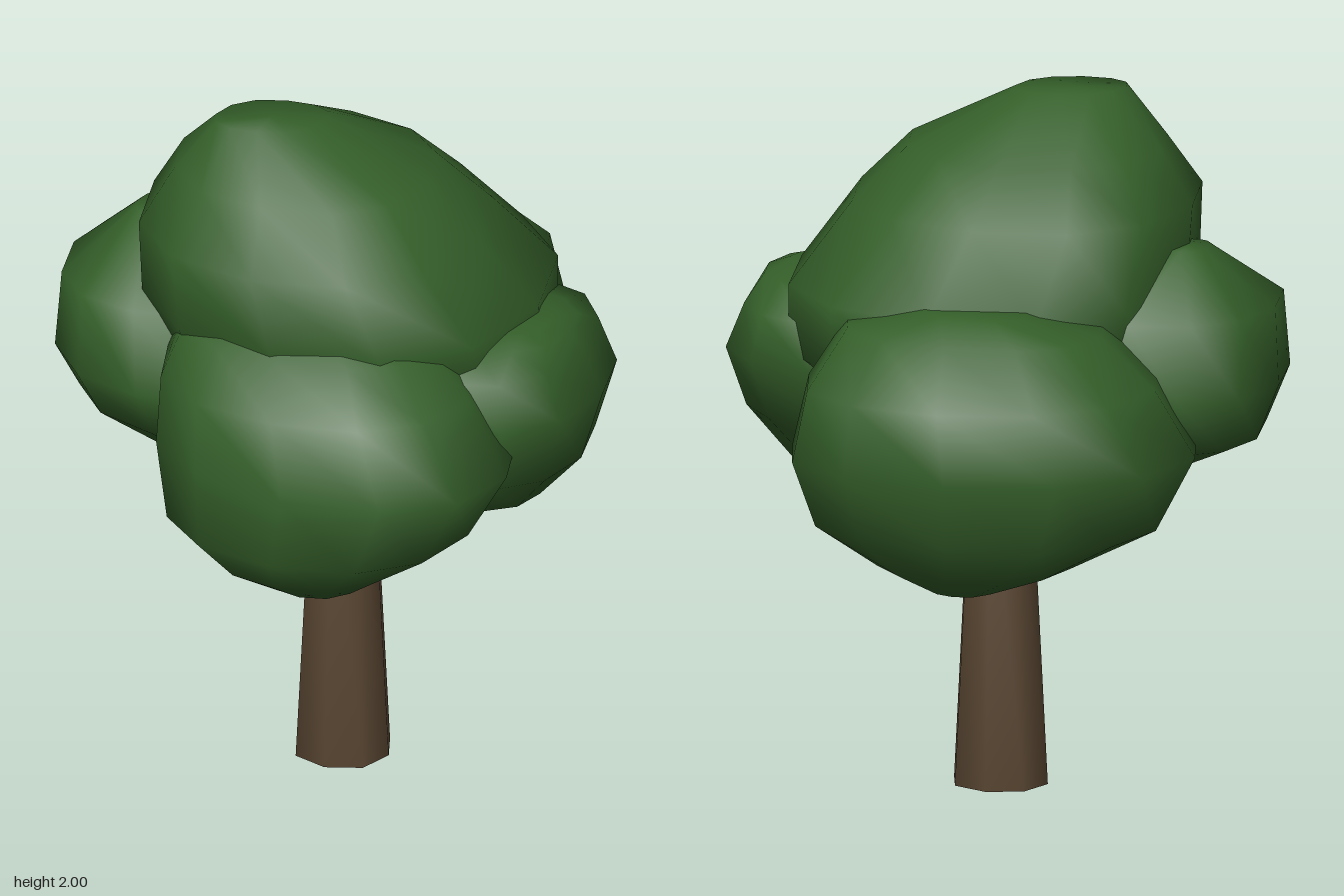
import * as THREE from 'three';

// Smooth solid from oval rings, top to bottom: [y, xMin, xMax, zMin, zMax, slant in degrees].
// The slant tilts the oval diagonally inside its bounds.
function loft(rings, sides) {
  const pos = [], index = [];
  const bulge = (v) => Math.sign(v) * Math.pow(Math.abs(v), 0.9);
  for (const [y, x0, x1, z0, z1, slant = 0] of rings) {
    for (let i = 0; i < sides; i++) {
      const a = (i / sides) * Math.PI * 2;
      const b = a + THREE.MathUtils.degToRad(slant);
      pos.push((x0 + x1) / 2 + bulge(Math.cos(a)) * (x1 - x0) / 2, y,
        (z0 + z1) / 2 + bulge(Math.sin(b)) * (z1 - z0) / 2);
    }
  }
  for (let r = 0; r < rings.length - 1; r++) {
    for (let i = 0; i < sides; i++) {
      const a = r * sides + i, b = r * sides + (i + 1) % sides;
      index.push(a, b, a + sides, b, b + sides, a + sides);
    }
  }
  // close both ends
  for (const r of [0, rings.length - 1]) {
    const [y, x0, x1, z0, z1] = rings[r];
    const c = pos.length / 3;
    pos.push((x0 + x1) / 2, y, (z0 + z1) / 2);
    for (let i = 0; i < sides; i++) {
      const p = r * sides + i, q = r * sides + (i + 1) % sides;
      if (r === 0) index.push(c, q, p);
      else index.push(c, p, q);
    }
  }
  const geo = new THREE.BufferGeometry();
  geo.setAttribute('position', new THREE.Float32BufferAttribute(pos, 3));
  geo.setIndex(index);
  geo.computeVertexNormals();
  return geo;
}

const CLUMPS = {
  topFoliage: [
    [2.0, -0.3, 0.0, 0.08, 0.31, -20],
    [1.85, -0.44, 0.3, -0.2, 0.47],
    [1.7, -0.53, 0.45, -0.35, 0.62],
    [1.48, -0.54, 0.6, -0.54, 0.645],
    [1.28, -0.5, 0.6, -0.5, 0.55],
    [1.05, -0.3, 0.38, -0.28, 0.35],
    [0.95, -0.1, 0.15, -0.1, 0.15],
  ],
  frontFoliage: [
    [1.57, -0.14, 0.2, 0.35, 0.5],
    [1.48, -0.32, 0.43, 0.18, 0.66],
    [1.36, -0.36, 0.55, 0.1, 0.8],
    [1.17, -0.37, 0.69, 0.05, 0.89, 4],
    [0.95, -0.32, 0.56, 0.08, 0.87],
    [0.82, -0.18, 0.36, 0.2, 0.75],
    [0.78, 0, 0.28, 0.38, 0.7],
  ],
  backFoliage: [
    [1.51, -0.25, 0.05, -0.58, -0.4],
    [1.45, -0.45, 0.3, -0.69, -0.15],
    [1.3, -0.6, 0.38, -0.86, -0.06, -8],
    [1.1, -0.7, 0.42, -0.89, 0.0, -12],
    [0.9, -0.61, 0.37, -0.82, -0.09, -5],
    [0.78, -0.37, 0.18, -0.73, -0.2],
    [0.73, -0.2, 0, -0.68, -0.42],
  ],
  leftFoliage: [
    [1.46, 0.48, 0.65, 0, 0.2],
    [1.44, 0.3, 0.71, -0.12, 0.3],
    [1.38, 0.2, 0.74, -0.3, 0.42],
    [1.25, 0.1, 0.8, -0.33, 0.46],
    [1.07, 0.1, 0.76, -0.27, 0.44, 5],
    [0.9, 0.15, 0.61, -0.12, 0.25],
    [0.83, 0.25, 0.45, 0, 0.12],
  ],
  rightFoliage: [
    [1.6, -0.6, -0.48, 0, 0.15],
    [1.44, -0.79, -0.15, -0.25, 0.44],
    [1.22, -0.81, -0.05, -0.3, 0.52, 5],
    [1.07, -0.76, -0.05, -0.26, 0.45, 10],
    [0.96, -0.52, -0.1, -0.15, 0.33],
    [0.87, -0.34, -0.2, 0, 0.2],
  ],
};

// Tapered trunk
const TRUNK = [
  [0.96, -0.072, 0.107, -0.015, 0.163],
  [0.0, -0.121, 0.157, -0.061, 0.215],
];

export function createModel() {
  const model = new THREE.Group();
  model.name = 'tree';
  const leaves = new THREE.MeshStandardMaterial({ color: 0x345e29 });
  leaves.name = 'leafGreen';
  const bark = new THREE.MeshStandardMaterial({ color: 0x5a4733 });
  bark.name = 'barkBrown';

  const add = (name, geo, mat) => {
    const mesh = new THREE.Mesh(geo, mat);
    mesh.name = name;
    model.add(mesh);
    return mesh;
  };

  add('trunk', loft(TRUNK, 8), bark);

  // Short branches reaching from the trunk into each clump
  const branch = (name, from, to, radius) => {
    const a = new THREE.Vector3(...from), b = new THREE.Vector3(...to);
    const dir = b.clone().sub(a);
    const mesh = add(name, new THREE.CylinderGeometry(radius * 0.75, radius, dir.length(), 6), bark);
    mesh.position.copy(a).add(b).multiplyScalar(0.5);
    mesh.quaternion.setFromUnitVectors(new THREE.Vector3(0, 1, 0), dir.normalize());
  };
  branch('backBranch', [0.01, 0.81, 0.04], [-0.04, 1.0, -0.24], 0.046);
  branch('leftBranch', [0.05, 0.85, 0.06], [0.3, 1.02, 0.06], 0.036);
  branch('rightBranch', [-0.02, 0.85, 0.08], [-0.28, 1.03, 0.1], 0.036);
  branch('frontBranch', [0.02, 0.85, 0.1], [0.08, 1.0, 0.35], 0.036);

  // Overlapping leafy clumps
  for (const [name, rings] of Object.entries(CLUMPS)) add(name, loft(rings, 12), leaves);

  return model;
}
